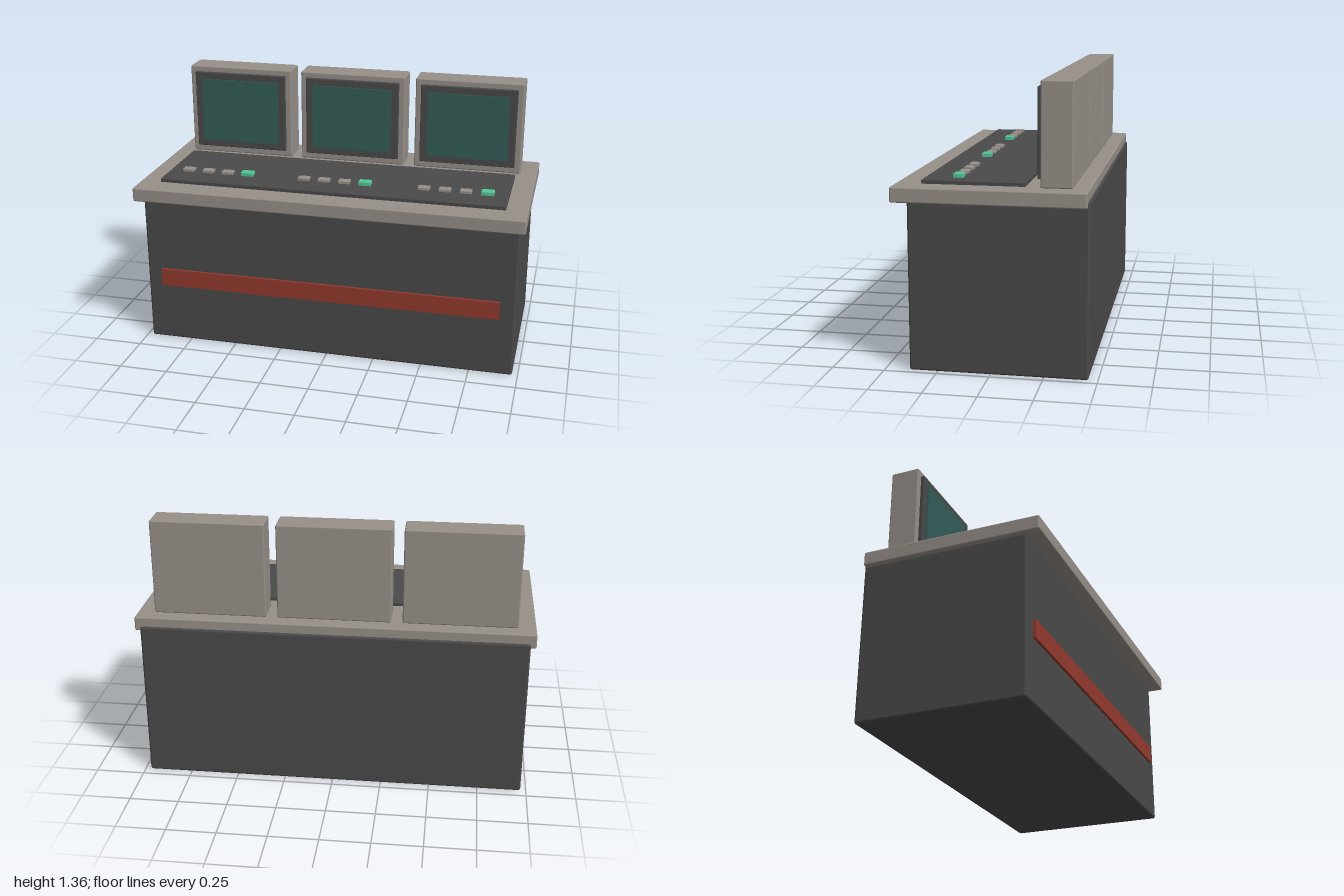
import * as THREE from 'three';
import { RoundedBoxGeometry } from 'three/addons/geometries/RoundedBoxGeometry.js';

const material = (name, color) => {
  const m = new THREE.MeshStandardMaterial({ color });
  m.name = name;
  return m;
};

export function createModel() {
  const casing = material('warm grey casing', 0x979089);
  const charcoal = material('charcoal', 0x4a4a4a);
  const red = material('red stripe', 0x943a2e);
  const glass = material('teal glass', 0x345e59);
  const green = material('green key', 0x54c698);

  // Box given by its extents on each axis; a radius softens its edges
  const block = (parent, name, mat, [x0, x1], [y0, y1], [z0, z1], radius = 0) => {
    const size = [x1 - x0, y1 - y0, z1 - z0];
    const geometry = radius
      ? new RoundedBoxGeometry(...size, 2, radius)
      : new THREE.BoxGeometry(...size);
    const mesh = new THREE.Mesh(geometry, mat);
    mesh.name = name;
    mesh.position.set((x0 + x1) / 2, (y0 + y1) / 2, (z0 + z1) / 2);
    parent.add(mesh);
    return mesh;
  };

  const model = new THREE.Group();
  model.name = 'controlConsole';

  // Desk: cabinet, overhanging worktop, control panel and front stripe
  block(model, 'cabinet', charcoal, [-0.972, 0.972], [0, 0.825], [-0.457, 0.384], 0.012);
  block(model, 'worktop', casing, [-1, 1], [0.8, 0.873], [-0.447, 0.457], 0.008);
  block(model, 'controlPanel', charcoal, [-0.892, 0.892], [0.865, 0.892], [-0.153, 0.334], 0.004);
  block(model, 'frontStripe', red, [-0.892, 0.892], [0.312, 0.406], [0.38, 0.397]);

  // Three identical stations: a monitor with its row of keys
  for (const [i, x] of [-0.627, 0, 0.627].entries()) {
    const station = new THREE.Group();
    station.name = `station${i + 1}`;
    station.position.x = x;
    model.add(station);

    block(station, 'monitorCase', casing, [-0.285, 0.285], [0.872, 1.358], [-0.372, -0.223], 0.007);
    block(station, 'screenBezel', charcoal, [-0.254, 0.254], [0.908, 1.328], [-0.23, -0.205], 0.004);
    block(station, 'screenGlass', glass, [-0.215, 0.215], [0.945, 1.291], [-0.207, -0.198]);

    [-0.164, -0.057, 0.05].forEach((kx, k) =>
      block(station, `greyKey${k + 1}`, casing, [kx - 0.03, kx + 0.03], [0.888, 0.906], [0.156, 0.2], 0.003));
    block(station, 'greenKey', green, [0.127, 0.191], [0.888, 0.911], [0.155, 0.202], 0.003);
  }

  return model;
}
